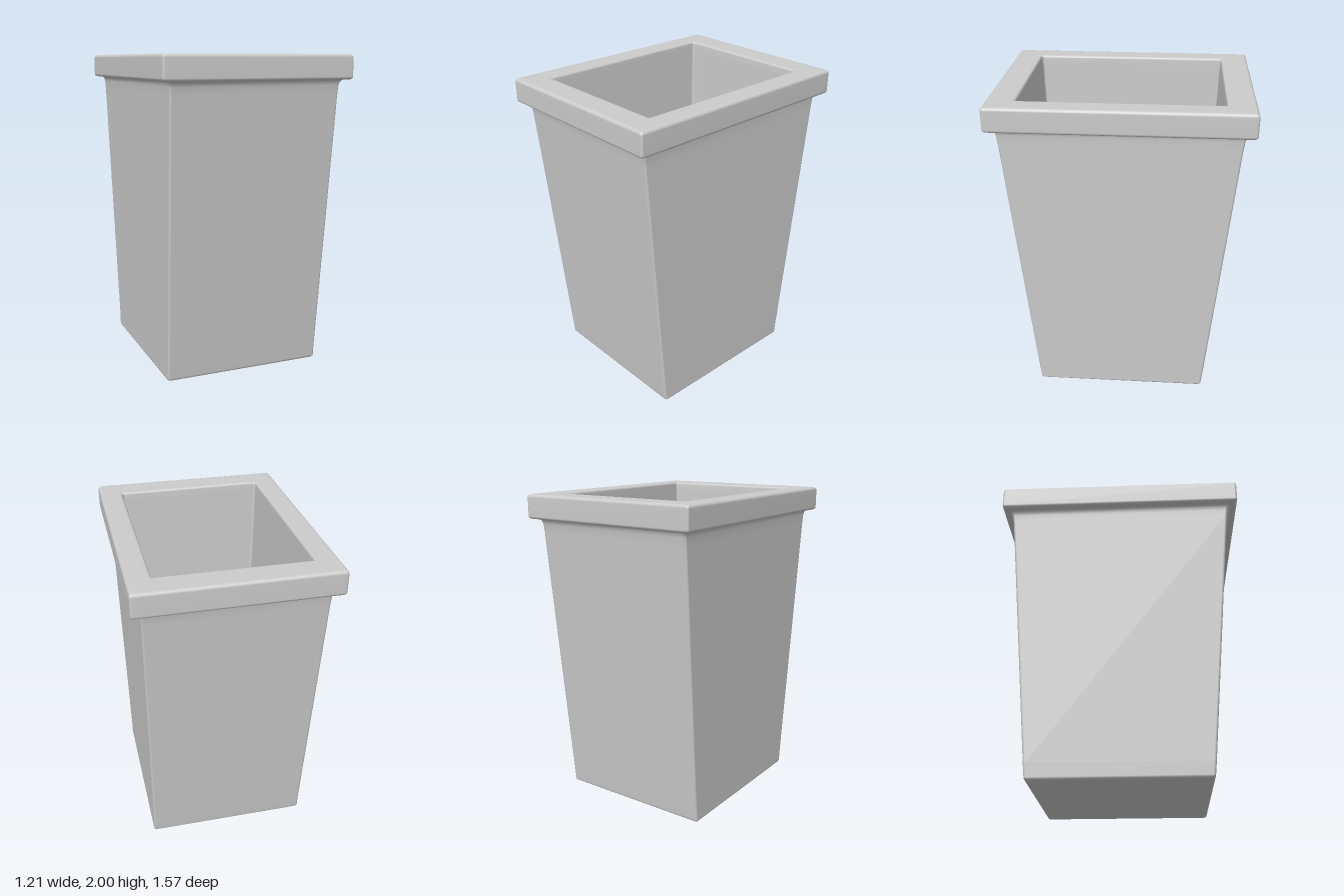
import * as THREE from 'three';

const material = new THREE.MeshStandardMaterial({ color: 0xcccccc });
const CORNER_STEPS = 4;

// Rounded rectangle ring with half sizes hx, hz at height y
function ring([hx, hz, y, r = 0.015]) {
  const points = [];
  for (let q = 0; q < 4; q++) {
    const sx = q === 0 || q === 3 ? 1 : -1;
    const sz = q < 2 ? 1 : -1;
    for (let i = 0; i <= CORNER_STEPS; i++) {
      const a = (q + i / CORNER_STEPS) * Math.PI / 2;
      points.push(sx * (hx - r) + r * Math.cos(a), y, sz * (hz - r) + r * Math.sin(a));
    }
  }
  return points;
}

// Skin a sequence of rings into one smooth surface
function loft(name, sections) {
  const n = 4 * (CORNER_STEPS + 1);
  const index = [];
  for (let s = 0; s < sections.length - 1; s++) {
    for (let i = 0; i < n; i++) {
      const a = s * n + i, b = s * n + (i + 1) % n;
      index.push(a, a + n, b, b, a + n, b + n);
    }
  }
  const geometry = new THREE.BufferGeometry();
  geometry.setAttribute('position', new THREE.Float32BufferAttribute(sections.flatMap(ring), 3));
  geometry.setIndex(index);
  geometry.computeVertexNormals();
  const mesh = new THREE.Mesh(geometry, material);
  mesh.name = name;
  return mesh;
}

// Quarter-round edge: arc of radius r around the inset (hx, hz, y), from angle a0 to a1 in degrees
function roundEdge(hx, hz, y, r, a0, a1, steps = 4) {
  return Array.from({ length: steps + 1 }, (_, i) => {
    const a = THREE.MathUtils.degToRad(a0 + (a1 - a0) * i / steps);
    return [hx + r * Math.cos(a), hz + r * Math.cos(a), y + r * Math.sin(a)];
  });
}

export function createModel() {
  const bin = new THREE.Group();
  bin.name = 'bin';

  // Tapered outer body with closed base and a small flare under the rim
  bin.add(loft('body', [
    [0, 0, 0, 0],
    [0.48, 0.51, 0],
    ...roundEdge(0.5, 0.533, 0.018, 0.018, -90, 0),
    [0.517, 0.56, 0.1],
    [0.543, 0.712, 1.76],
    [0.545, 0.719, 1.815],
    [0.549, 0.726, 1.835],
    [0.558, 0.736, 1.845],
    [0.57, 0.745, 1.85],
  ]));

  // Thick overhanging rim, rounded outside and into the opening
  bin.add(loft('rim', [
    [0.555, 0.735, 1.848],
    ...roundEdge(0.587, 0.765, 1.866, 0.018, -90, 0),
    ...roundEdge(0.585, 0.763, 1.98, 0.02, 0, 90),
    [0.56, 0.738, 2],
    [0.49, 0.638, 2],
    ...roundEdge(0.476, 0.623, 1.985, 0.015, 90, 180),
    [0.46, 0.606, 1.95],
  ]));

  // Tapered inner walls and floor
  bin.add(loft('innerLining', [
    [0.46, 0.606, 1.95],
    [0.427, 0.562, 0.45],
    [0.425, 0.56, 0.425],
    [0.415, 0.55, 0.41],
    [0.39, 0.525, 0.41],
    [0, 0, 0.41, 0],
  ]));

  return bin;
}
